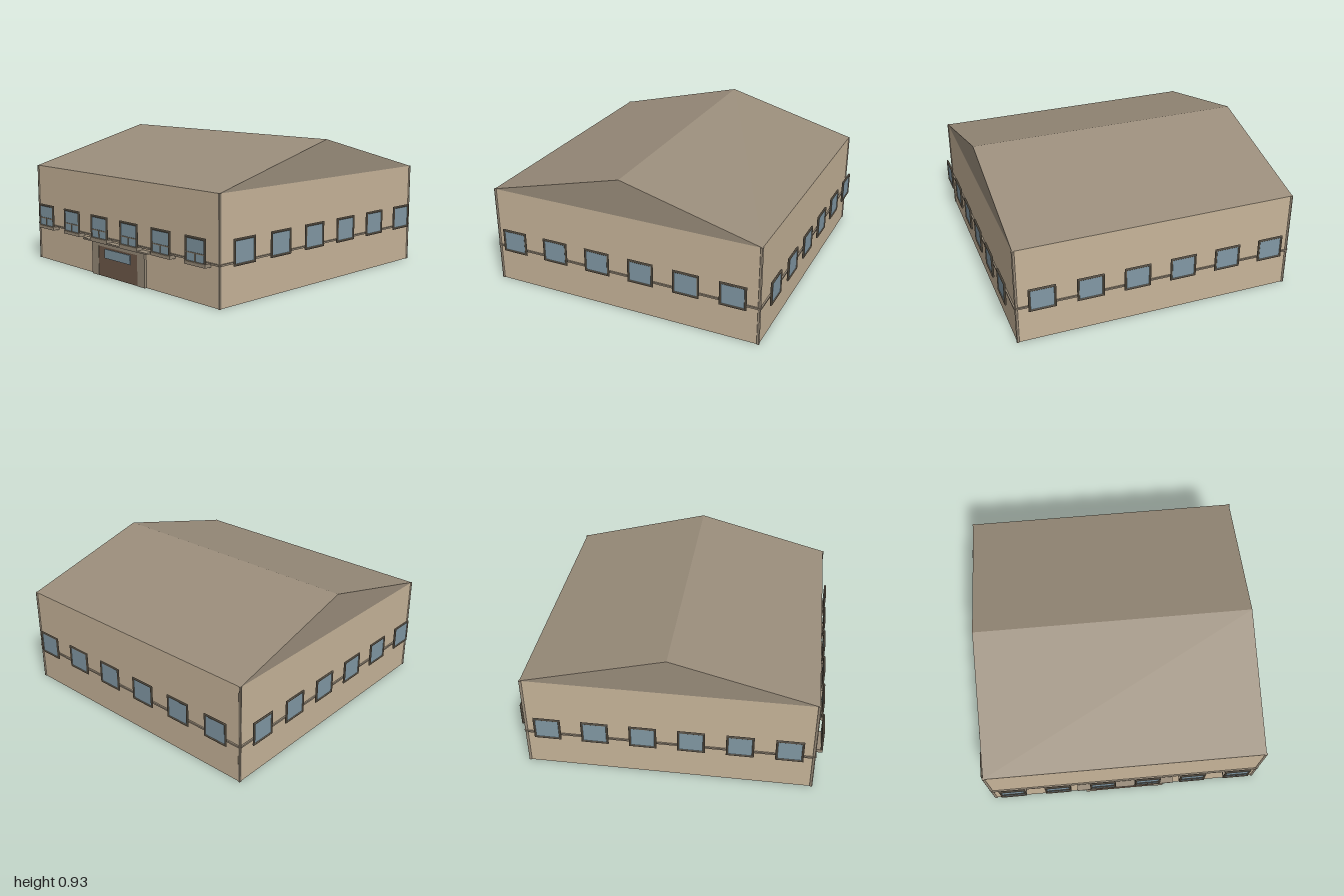
import * as THREE from 'three';

const mat = (color) => new THREE.MeshStandardMaterial({ color, flatShading: true });
const WALL = mat(0xc8b59a), TRIM = mat(0x998c7a), ROOF = mat(0x9a8d7b);
const FRAME = mat(0x7d7261), GLASS = mat(0x8299a5), DOOR = mat(0x705a4a);

const H = 0.95;      // half width of the walls
const EAVE = 0.68, RIDGE = 0.93;

function add(parent, name, geometry, material, x = 0, y = 0, z = 0) {
  const mesh = new THREE.Mesh(geometry, material);
  mesh.name = name;
  mesh.position.set(x, y, z);
  parent.add(mesh);
  return mesh;
}

// Box given by its extents on each axis
function block(parent, name, material, [x0, x1], [y0, y1], [z0, z1]) {
  return add(parent, name, new THREE.BoxGeometry(x1 - x0, y1 - y0, z1 - z0), material,
    (x0 + x1) / 2, (y0 + y1) / 2, (z0 + z1) / 2);
}

// Rectangular ring with bevelled edges, outer size w x h
function ringGeometry(w, h, member, bevel, depth) {
  const rect = (Type, a, b) => {
    const p = new Type();
    p.moveTo(-a, -b);
    p.lineTo(a, -b);
    p.lineTo(a, b);
    p.lineTo(-a, b);
    p.closePath();
    return p;
  };
  const shape = rect(THREE.Shape, w / 2 - bevel, h / 2 - bevel);
  shape.holes.push(rect(THREE.Path, w / 2 - member + bevel, h / 2 - member + bevel));
  const geo = new THREE.ExtrudeGeometry(shape, {
    depth: depth - 2 * bevel, bevelEnabled: true, bevelSize: bevel,
    bevelThickness: bevel, bevelSegments: 1,
  });
  return geo.translate(0, 0, bevel);
}

const frameGeo = ringGeometry(0.18, 0.163, 0.014, 0.004, 0.014);
const glassGeo = new THREE.BoxGeometry(0.158, 0.141, 0.004);

// Window standing off the wall, facing +z
function makeWindow(detailed) {
  const win = new THREE.Group();
  win.name = 'window';
  add(win, 'windowFrame', frameGeo, FRAME, 0, 0.332, 0.986);
  add(win, 'windowGlass', glassGeo, GLASS, 0, 0.332, 0.993);
  if (detailed) {
    block(win, 'transom', FRAME, [-0.08, 0.08], [0.312, 0.319], [0.988, 0.999]);
    block(win, 'mullion', FRAME, [-0.003, 0.003], [0.255, 0.314], [0.988, 0.999]);
    block(win, 'windowSill', TRIM, [-0.09, 0.09], [0.239, 0.262], [H, 1.0]);
  }
  return win;
}

// One side of the building: trim band and six windows
function makeSide(detailed) {
  const side = new THREE.Group();
  block(side, 'trimBand', TRIM, [-H, H], [0.255, 0.266], [H - 0.005, 0.96]);
  for (let i = 0; i < 6; i++) {
    const win = makeWindow(detailed);
    win.position.x = (i - 2.5) * 0.3155;
    side.add(win);
  }
  return side;
}

function makeEntrance() {
  const g = new THREE.Group();
  g.name = 'entrance';
  for (const s of [-1, 1]) {
    add(g, 'doorJamb', new THREE.BoxGeometry(0.073, 0.235, 0.018), TRIM, s * 0.2435, 0.1175, 0.957);
  }
  block(g, 'doorLintel', TRIM, [-0.207, 0.207], [0.203, 0.235], [0.948, 0.966]);
  block(g, 'door', DOOR, [-0.207, 0.207], [0, 0.203], [0.948, 0.963]);
  block(g, 'doorGlass', GLASS, [-0.135, 0.135], [0.128, 0.19], [0.955, 0.969]);
  block(g, 'canopy', TRIM, [-0.34, 0.34], [0.232, 0.242], [H, 0.998]);
  return g;
}

export function createModel() {
  const model = new THREE.Group();
  model.name = 'building';

  block(model, 'walls', WALL, [-H, H], [0, EAVE], [-H, H]);

  // Gabled roof, ridge running along x
  const gable = new THREE.Shape();
  gable.moveTo(-H, EAVE);
  gable.lineTo(H, EAVE);
  gable.lineTo(0, RIDGE);
  gable.closePath();
  const roofGeo = new THREE.ExtrudeGeometry(gable, { depth: 2 * H, bevelEnabled: false });
  roofGeo.translate(0, 0, -H).rotateY(Math.PI / 2);
  add(model, 'roof', roofGeo, ROOF);

  // Corner posts
  const postGeo = new THREE.CylinderGeometry(0.01, 0.01, EAVE, 12);
  for (const x of [-1, 1]) {
    for (const z of [-1, 1]) {
      add(model, 'cornerPost', postGeo, TRIM, x * 0.946, EAVE / 2, z * 0.946);
    }
  }

  // Four sides; only the front has divided windows with sills
  ['frontSide', 'leftSide', 'backSide', 'rightSide'].forEach((name, i) => {
    const side = makeSide(i === 0);
    side.name = name;
    side.rotation.y = i * Math.PI / 2;
    model.add(side);
  });

  model.add(makeEntrance());
  return model;
}
